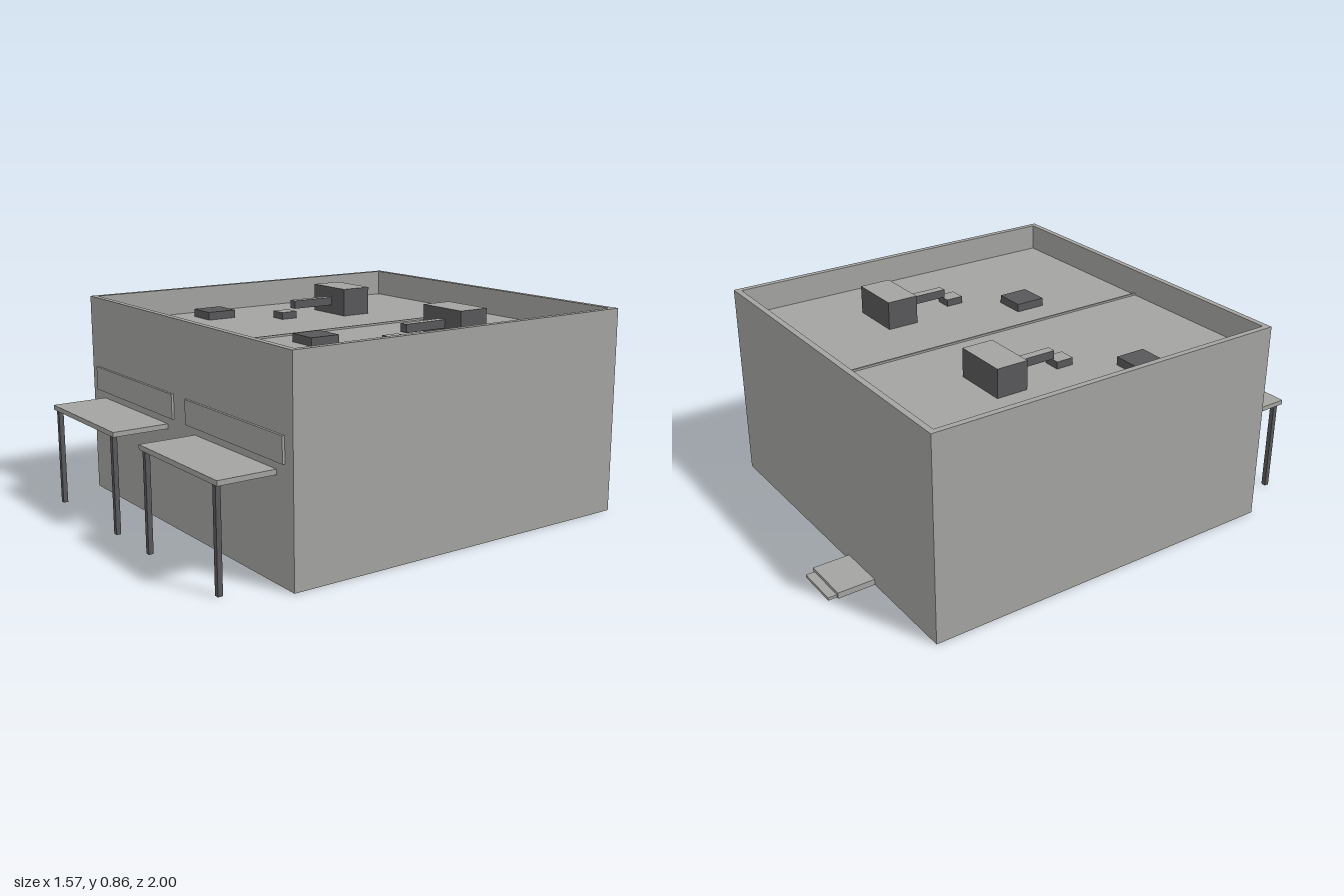
import * as THREE from 'three';

export function createModel() {
  const model = new THREE.Group();
  const wall = new THREE.MeshStandardMaterial({ color: 0xa3a3a1, side: THREE.DoubleSide });
  wall.name = 'light grey';
  const dark = new THREE.MeshStandardMaterial({ color: 0x58585a });
  dark.name = 'dark grey';
  // light top, dark sides and bottom
  const capped = [dark, dark, wall, dark, dark, dark];

  function box(name, x0, x1, y0, y1, z0, z1, material, openBottom = false) {
    const geo = new THREE.BoxGeometry(x1 - x0, y1 - y0, z1 - z0);
    if (openBottom) {
      const idx = Array.from(geo.index.array);
      idx.splice(18, 6); // remove the floor face
      geo.setIndex(idx);
      geo.clearGroups();
    }
    const mesh = new THREE.Mesh(geo, material);
    mesh.name = name;
    mesh.position.set((x0 + x1) / 2, (y0 + y1) / 2, (z0 + z1) / 2);
    model.add(mesh);
    return mesh;
  }

  // Building body, hollow and open below, with the flat roof as its top
  const X = 0.785, BACK = -0.805, FRONT = 0.765, ROOF = 0.737, TOP = 0.85, T = 0.025;
  box('buildingShell', -X, X, 0, ROOF, BACK, FRONT, wall, true);

  // Parapet around the roof
  const rect = (P, x, z0, z1) => {
    const p = new P();
    p.moveTo(-x, -z1);
    p.lineTo(x, -z1);
    p.lineTo(x, -z0);
    p.lineTo(-x, -z0);
    p.closePath();
    return p;
  };
  const ring = rect(THREE.Shape, X, BACK, FRONT);
  ring.holes.push(rect(THREE.Path, X - T, BACK + T, FRONT - T));
  const parapet = new THREE.Mesh(
    new THREE.ExtrudeGeometry(ring, { depth: TOP - ROOF, bevelEnabled: false }), wall);
  parapet.name = 'parapet';
  parapet.rotation.x = -Math.PI / 2;
  parapet.position.y = ROOF;
  model.add(parapet);

  // Seam between the two halves of the roof
  box('roofSeam', -0.004, 0.004, ROOF, ROOF + 0.008, BACK + T, FRONT - T, wall);

  // Roof equipment, repeated on each half
  for (const x of [-0.393, 0.39]) {
    box('roofUnit', x - 0.115, x + 0.115, ROOF, 0.856, -0.35, -0.215, capped);
    box('duct', x - 0.018, x + 0.018, 0.775, 0.81, -0.215, -0.018, capped);
    box('ductOutlet', x - 0.035, x + 0.035, ROOF, 0.767, -0.015, 0.06, capped);
  }
  for (const x of [-0.592, 0.195])
    box('roofVent', x - 0.065, x + 0.065, ROOF, 0.771, 0.2, 0.33, dark);

  // Shop fronts: sign board, canopy and two posts on each side
  for (const s of [-1, 1]) {
    const sign = s * 0.393, canopy = s * 0.394;
    box('signBoard', sign - 0.34, sign + 0.34, 0.45, 0.55, FRONT, 0.775, wall);
    box('canopy', canopy - 0.286, canopy + 0.286, 0.4, 0.42, FRONT, 1, wall);
    for (const p of [-0.256, 0.256])
      box('canopyPost', canopy + p - 0.01, canopy + p + 0.01, 0, 0.4, 0.975, 0.995, dark);
  }

  // Back door steps, hollow below
  box('upperStep', -0.34, -0.135, 0, 0.025, -0.963, BACK, wall, true);
  box('lowerStep', -0.33, -0.145, 0, 0.012, -1, -0.963, wall, true);

  return model;
}
